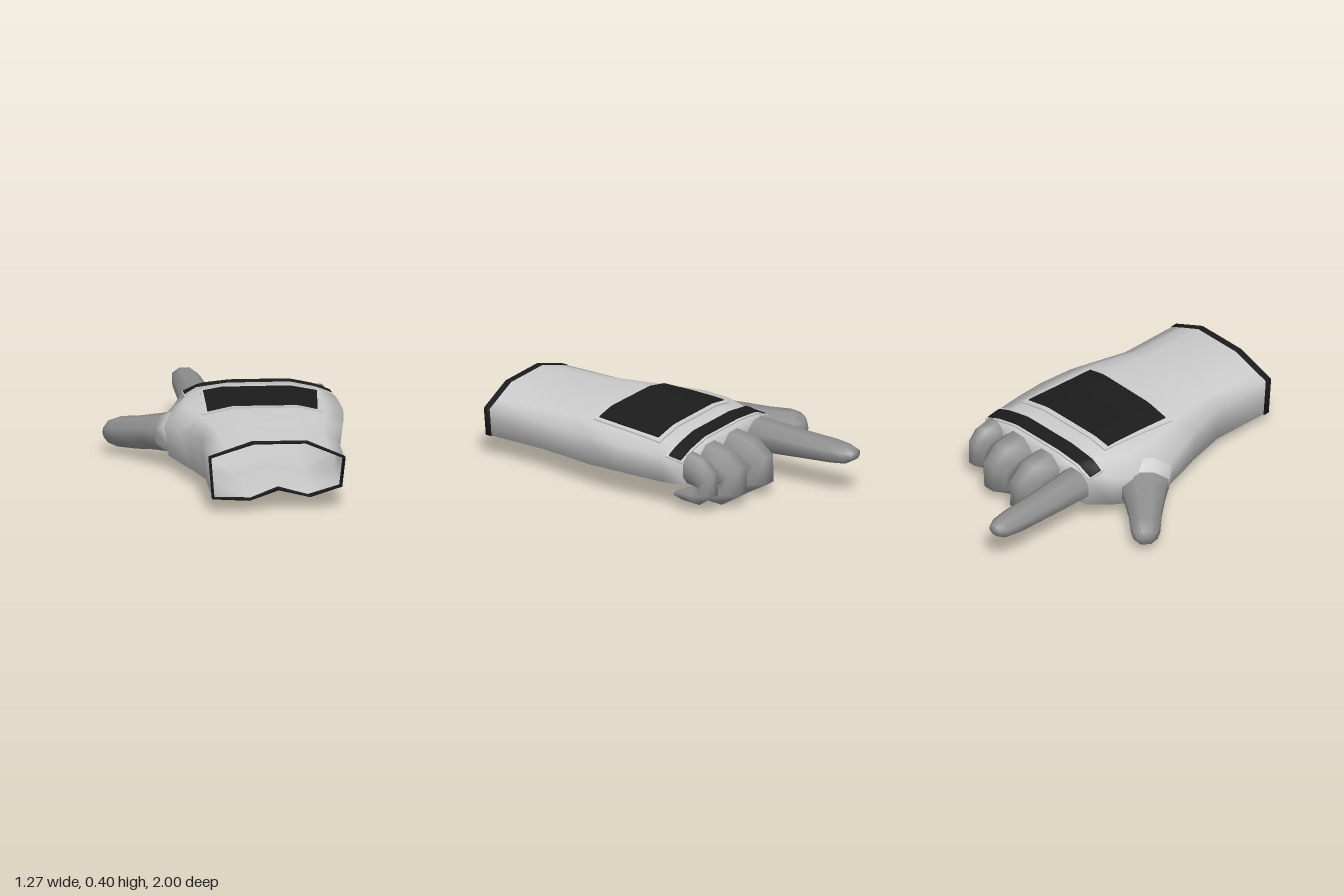
import * as THREE from 'three';

const mat = (color) => new THREE.MeshStandardMaterial({ color, side: THREE.DoubleSide });
const GLOVE = mat(0xcccccc), SKIN = mat(0x8f8f8f), BLACK = mat(0x1c1c1c);
const lerp = THREE.MathUtils.lerp;
const V = (x, y, z) => new THREE.Vector3(x, y, z);

// Glove stations: z, left x, right x, top, bottom, upper left y, upper right y,
// lower left y, lower right y, shoulder roundness
const STATIONS = [
  [1.0, -0.2, 0.535, 0.385, 0.068, 0.31, 0.29, 0.08, 0.13, 0.38],
  [0.62, -0.2, 0.54, 0.392, 0.075, 0.31, 0.29, 0.09, 0.13, 0.45],
  [0.4, -0.245, 0.59, 0.403, 0.05, 0.29, 0.3, 0.08, 0.14, 0.58],
  [0.28, -0.285, 0.61, 0.392, 0.045, 0.27, 0.31, 0.08, 0.14, 0.7],
  [0.08, -0.345, 0.63, 0.387, 0.05, 0.25, 0.31, 0.08, 0.15, 0.75],
  [-0.1, -0.32, 0.625, 0.387, 0.05, 0.26, 0.31, 0.085, 0.15, 0.75],
  [-0.22, -0.26, 0.62, 0.382, 0.06, 0.28, 0.305, 0.1, 0.15, 0.75],
  [-0.36, -0.2, 0.61, 0.365, 0.12, 0.31, 0.29, 0.14, 0.16, 0.75],
];

// Cross-section of the glove; the first six points run over the back of the hand
function section([z, xl, xr, top, bot, yl, yr, yll, yrl, round]) {
  return [
    [0, yl], [0.12, lerp(yl, top, round)], [0.32, top], [0.72, top - 0.004],
    [0.89, lerp(yr, top, Math.min(round, 0.52))], [1, yr],
    [0.975, yrl], [0.74, bot + 0.01], [0.51, bot + 0.055], [0.3, bot], [0.025, yll],
  ].map(([u, y]) => V(lerp(xl, xr, u), y, z));
}

// Height of the back of the hand at any x, z
function backHeight(x, z) {
  let i = 0;
  while (i < STATIONS.length - 2 && z < STATIONS[i + 1][0]) i++;
  const a = STATIONS[i], b = STATIONS[i + 1];
  const t = THREE.MathUtils.clamp((z - a[0]) / (b[0] - a[0]), 0, 1);
  const pts = section(a.map((v, k) => lerp(v, b[k], t)));
  let j = 0;
  while (j < 4 && x > pts[j + 1].x) j++;
  const s = THREE.MathUtils.clamp((x - pts[j].x) / (pts[j + 1].x - pts[j].x), 0, 1);
  return lerp(pts[j].y, pts[j + 1].y, s);
}

// Smooth skin through closed rings, optionally closed at the far end
function loft(name, rings, material, tip) {
  const n = rings[0].length, pos = [], idx = [];
  rings.forEach((r) => r.forEach((p) => pos.push(p.x, p.y, p.z)));
  for (let i = 0; i < rings.length - 1; i++) {
    for (let j = 0; j < n; j++) {
      const a = i * n + j, b = i * n + (j + 1) % n;
      idx.push(a, b, b + n, a, b + n, a + n);
    }
  }
  if (tip) {
    const c = pos.length / 3, last = c - n;
    pos.push(tip.x, tip.y, tip.z);
    for (let j = 0; j < n; j++) idx.push(last + j, last + (j + 1) % n, c);
  }
  const g = new THREE.BufferGeometry();
  g.setAttribute('position', new THREE.Float32BufferAttribute(pos, 3));
  g.setIndex(idx);
  g.computeVertexNormals();
  const mesh = new THREE.Mesh(g, material);
  mesh.name = name;
  return mesh;
}

// Eight-sided ring spanned by two half axes
function ring(centre, side, up) {
  return Array.from({ length: 8 }, (_, k) => {
    const a = (k + 0.5) * Math.PI / 4;
    return centre.clone().addScaledVector(side, Math.cos(a) * 1.07).addScaledVector(up, Math.sin(a) * 1.07);
  });
}

// Finger along points [x, y, z, half width, half height]; side is its width axis
function finger(name, path, side, material = SKIN) {
  const centres = path.map(([x, y, z]) => V(x, y, z));
  const last = path.length - 1;
  const rings = path.map(([, , , w, h], i) => {
    const dir = centres[Math.min(i + 1, last)].clone().sub(centres[Math.max(i - 1, 0)]).normalize();
    const up = dir.cross(side).normalize();
    return ring(centres[i], side.clone().multiplyScalar(w), up.multiplyScalar(h));
  });
  return loft(name, rings, material, centres[last].clone().lerp(centres[last - 1], -0.15));
}

// Finger bent into the palm: each ring spans an outer and an inner point
// [outer z, outer y, inner z, inner y, relative width], measured from the knuckle
function curledFinger(name, x, width, reach, drop) {
  const folds = [
    [0, 0, 0, -0.2, 1], [-0.13, -0.022, -0.07, -0.205, 1], [-0.235, -0.1, -0.09, -0.215, 0.86],
    [-0.238, -0.255, -0.085, -0.23, 0.8], [-0.11, -0.33, -0.04, -0.235, 0.8],
    [0.05, -0.325, 0.03, -0.245, 0.68], [0.125, -0.31, 0.12, -0.28, 0.4],
  ];
  const rings = folds.map(([oz, oy, iz, iy, w]) => {
    const outer = V(x, 0.333 + oy * drop, -0.36 + oz * reach);
    const inner = V(x, 0.333 + iy * drop, -0.36 + iz * reach);
    const up = inner.clone().sub(outer).multiplyScalar(0.5);
    return ring(outer.lerp(inner, 0.5), V(width * w, 0, 0), up);
  });
  return loft(name, rings, SKIN, V(x, 0.333 - 0.292 * drop, -0.36 + 0.14 * reach));
}

// Plate draped over the back of the hand; corners [x, z]: back left, back right, front right, front left
function plate(name, [bl, br, fr, fl], lift, material) {
  const g = new THREE.BoxGeometry(1, 1, 1, 24, 1, 6), p = g.attributes.position;
  for (let i = 0; i < p.count; i++) {
    const u = p.getX(i) + 0.5, v = p.getZ(i) + 0.5;
    const x = lerp(lerp(bl[0], br[0], u), lerp(fl[0], fr[0], u), v);
    const z = lerp(lerp(bl[1], br[1], u), lerp(fl[1], fr[1], u), v);
    p.setXYZ(i, x, backHeight(x, z) + (p.getY(i) > 0 ? lift : -0.004), z);
  }
  g.computeVertexNormals();
  const mesh = new THREE.Mesh(g, material);
  mesh.name = name;
  return mesh;
}

export function createModel() {
  const model = new THREE.Group();
  model.name = 'glovedHand';

  // Glove body, open at the wrist and closed behind the fingers
  const rings = STATIONS.map(section);
  model.add(loft('glove', rings, GLOVE, V(0.2, 0.24, -0.36)));

  // Dark hem around the wrist opening
  const mid = V(0.17, 0.23, 0);
  const hemRing = (scale, z) => rings[0].map((p) => {
    const d = p.clone().sub(mid).setZ(0);
    return mid.clone().addScaledVector(d, 1 + scale / d.length()).setZ(z);
  });
  const hem = [[0.005, 0.965], [-0.008, 0.965], [-0.008, 1], [0.005, 1], [0.005, 0.965]];
  model.add(loft('wristHem', hem.map(([s, z]) => hemRing(s, z)), BLACK));

  // Back panel and knuckle bar, each on a raised border
  model.add(
    plate('backPanelBorder', [[-0.12, -0.16], [0.54, -0.16], [0.49, 0.31], [-0.165, 0.3]], 0.009, GLOVE),
    plate('backPanel', [[-0.11, -0.13], [0.51, -0.13], [0.468, 0.288], [-0.132, 0.278]], 0.015, BLACK),
    plate('knuckleBarBorder', [[-0.2, -0.36], [0.612, -0.358], [0.612, -0.245], [-0.2, -0.25]], 0.009, GLOVE),
    plate('knuckleBar', [[-0.195, -0.345], [0.605, -0.345], [0.605, -0.265], [-0.195, -0.265]], 0.015, BLACK),
  );

  // Pointing index finger
  model.add(finger('indexFinger', [
    [-0.102, 0.24, -0.36, 0.096, 0.09], [-0.108, 0.24, -0.45, 0.09, 0.084], [-0.114, 0.24, -0.65, 0.083, 0.07],
    [-0.12, 0.243, -0.85, 0.077, 0.06], [-0.122, 0.245, -0.94, 0.066, 0.05], [-0.124, 0.252, -0.99, 0.042, 0.028],
  ], V(1, 0, 0)));

  // Curled fingers
  model.add(
    curledFinger('middleFinger', 0.13, 0.1, 1.02, 1),
    curledFinger('ringFinger', 0.352, 0.102, 0.94, 1),
    curledFinger('littleFinger', 0.54, 0.068, 0.71, 0.85),
  );

  // Thumb with its glove sleeve
  const thumbSide = V(0.66, 0, -0.75).normalize();
  model.add(
    finger('thumbSleeve', [
      [-0.235, 0.2, 0.0, 0.165, 0.12], [-0.3, 0.182, -0.05, 0.142, 0.1],
    ], thumbSide, GLOVE),
    finger('thumb', [
      [-0.295, 0.182, -0.046, 0.141, 0.099], [-0.37, 0.168, -0.105, 0.113, 0.091],
      [-0.46, 0.145, -0.185, 0.09, 0.085], [-0.55, 0.13, -0.268, 0.08, 0.078],
      [-0.592, 0.124, -0.308, 0.066, 0.062], [-0.612, 0.128, -0.326, 0.04, 0.036],
    ], thumbSide),
  );
  return model;
}
